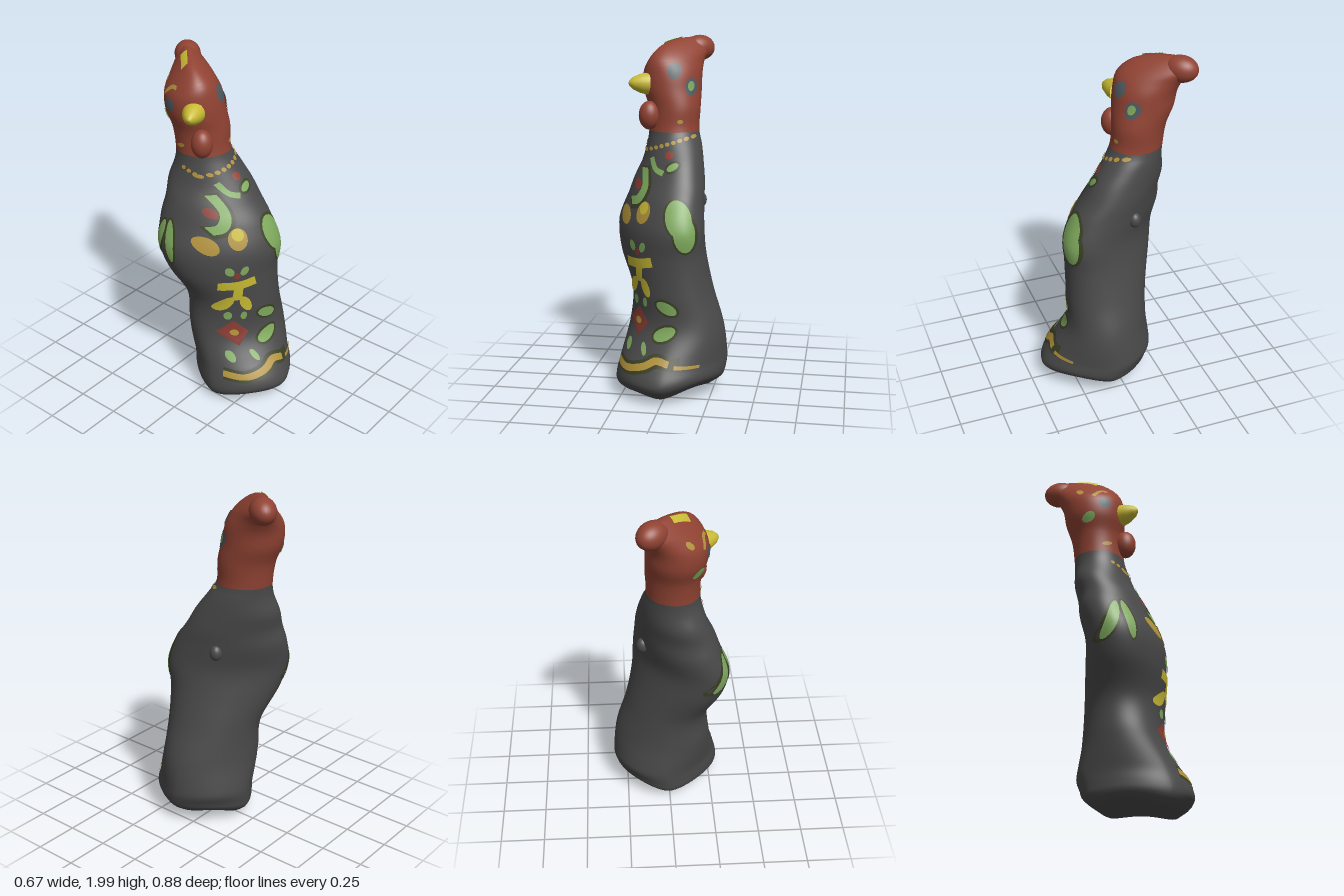
import * as THREE from 'three';

const mat = (name, color, side = THREE.FrontSide) => {
  const m = new THREE.MeshStandardMaterial({ color, side });
  m.name = name;
  return m;
};

// Cross-sections: y, centre x, half width x, centre z, half width z, skew angle, corner power
const SECTIONS = [
  [0, 0, 0.24, 0.1, 0.25, 1.65, 1.2],
  [0.05, 0.005, 0.295, 0.105, 0.305, 1.65, 1.2],
  [0.1, 0.01, 0.31, 0.11, 0.32, 1.65, 1.2],
  [0.2, 0.025, 0.305, 0.085, 0.305, 1.65, 1.15],
  [0.4, 0.035, 0.275, 0.04, 0.25, 1.4, 1.05],
  [0.6, 0.01, 0.24, 0.03, 0.25, 1.37, 1],
  [0.8, -0.05, 0.26, 0, 0.28, 1.2, 1],
  [0.95, -0.065, 0.265, -0.01, 0.3, 1.1, 1],
  [1.1, -0.045, 0.235, -0.05, 0.28, 1.15, 1],
  [1.2, -0.03, 0.215, -0.08, 0.24, 1.2, 1],
  [1.3, -0.015, 0.185, -0.115, 0.215, 1.25, 1],
  [1.4, -0.01, 0.16, -0.14, 0.17, 1.4, 1],
  [1.47, -0.015, 0.145, -0.16, 0.15, 1.5, 1],
  [1.6, -0.015, 0.15, -0.175, 0.155, 1.5, 1],
  [1.7, -0.03, 0.165, -0.2, 0.17, 1.6, 1],
  [1.8, -0.03, 0.165, -0.215, 0.17, 1.7, 1],
  [1.87, -0.01, 0.15, -0.235, 0.165, 2, 1],
  [1.92, 0.02, 0.14, -0.27, 0.15, 2.3, 1],
  [1.96, 0.04, 0.11, -0.3, 0.11, 2.5, 1],
  [1.985, 0.07, 0.06, -0.34, 0.06, 2.6, 1],
];
const NECK = 1.47, TOP = 1.985;

// Smooth interpolation between cross-sections
function section(y) {
  const n = SECTIONS.length;
  y = THREE.MathUtils.clamp(y, 0, TOP);
  let i = 0;
  while (i < n - 2 && y > SECTIONS[i + 1][0]) i++;
  const [a, b] = [SECTIONS[i], SECTIONS[i + 1]];
  const [p, q] = [SECTIONS[Math.max(i - 1, 0)], SECTIONS[Math.min(i + 2, n - 1)]];
  const h = b[0] - a[0], s = (y - a[0]) / h;
  return a.map((v, k) => {
    const m0 = ((b[k] - p[k]) / (b[0] - p[0])) * h, m1 = ((q[k] - v) / (q[0] - a[0])) * h;
    return v * (2 * s ** 3 - 3 * s * s + 1) + m0 * (s ** 3 - 2 * s * s + s)
      + b[k] * (3 * s * s - 2 * s ** 3) + m1 * (s ** 3 - s * s);
  });
}

// Point on the figure's skin at angle t and height y, with a tilted, four-footed base
function skin(t, y) {
  const [, cx, hx, cz, hz, d, p] = section(y);
  const g = (a) => Math.sign(Math.cos(a)) * Math.abs(Math.cos(a)) ** p;
  const x = cx + hx * g(t), z = cz + hz * g(t - d);
  const low = Math.max(0, 1 - y / 0.25);
  return new THREE.Vector3(x, y + low * (0.03 + 0.1 * x + 0.0125 * (1 - Math.cos(4 * t))), z);
}
function raised(t, y, off) {
  const P = skin(t, y), e = 0.01;
  const n = skin(t, y + e).sub(skin(t, y - e)).cross(skin(t + e, y).sub(skin(t - e, y))).normalize();
  return P.addScaledVector(n, off);
}

// Projections of flat painted outlines on to the skin
const angle = (u, p) => {
  u = THREE.MathUtils.clamp(u, -1, 1);
  return Math.acos(Math.sign(u) * Math.abs(u) ** (1 / p));
};
const front = (x, y, off) => {
  const s = section(y);
  return raised(angle((x - s[1]) / s[2], s[6]), y, off);
};
const side = (z, y, off) => {
  const s = section(y);
  return raised(s[5] + angle((z - s[3]) / s[4], s[6]), y, off);
};
const above = (x, z, off) => {
  let y = TOP;
  for (; y > 1.6; y -= 0.002) {
    const [, cx, hx, cz, hz, d] = section(y), u = (x - cx) / hx, v = (z - cz) / hz;
    if (u * u + v * v - 2 * u * v * Math.cos(d) <= Math.sin(d) ** 2) break;
  }
  return new THREE.Vector3(x, y + off, z);
};

function meshFrom(name, points, index, material) {
  const g = new THREE.BufferGeometry().setFromPoints(points);
  g.setIndex(index);
  g.computeVertexNormals();
  const m = new THREE.Mesh(g, material);
  m.name = name;
  return m;
}

function loft(name, y0, y1, material, cap, capAtTop) {
  const N = 64, R = Math.round((y1 - y0) / 0.02), pts = [], idx = [];
  for (let i = 0; i <= R; i++)
    for (let j = 0; j < N; j++) pts.push(skin((j / N) * Math.PI * 2, y0 + ((y1 - y0) * i) / R));
  for (let i = 0; i < R; i++)
    for (let j = 0; j < N; j++) {
      const k = (j + 1) % N, a = i * N + j, c = i * N + k;
      idx.push(a, a + N, c, c, a + N, c + N);
    }
  const c = pts.push(cap) - 1, base = capAtTop ? R * N : 0;
  for (let j = 0; j < N; j++) {
    const a = base + j, b = base + ((j + 1) % N);
    idx.push(c, ...(capAtTop ? [b, a] : [a, b]));
  }
  return meshFrom(name, pts, idx, material);
}

export function createModel() {
  const group = new THREE.Group();
  const D = THREE.DoubleSide;
  const grey = mat('charcoal', 0x4a4a4a), red = mat('brick red', 0x914333);
  const yellow = mat('yellow', 0xc9bb34, D), gold = mat('gold', 0xb0913a, D);
  const green = mat('leaf green', 0x80ab5e, D), olive = mat('dark olive', 0x3b4026, D);
  const slate = mat('slate', 0x4f5a60, D), paintRed = mat('paint red', 0x8a3b32, D);

  // Painted spot: elliptical patch, or a diamond with four sides
  const spot = (name, m, x, y, rx, ry = rx, rot = 0, map = front, off = 0.005, n = 20) => {
    const pts = [map(x, y, off)], idx = [], R = 4;
    for (let r = 1; r <= R; r++)
      for (let j = 0; j < n; j++) {
        const a = (j / n) * Math.PI * 2, u = (Math.cos(a) * rx * r) / R, v = (Math.sin(a) * ry * r) / R;
        pts.push(map(x + u * Math.cos(rot) - v * Math.sin(rot), y + u * Math.sin(rot) + v * Math.cos(rot), off));
        const k = (j + 1) % n, o = (r - 1) * n + 1, q = o - n;
        if (r === 1) idx.push(0, o + j, o + k);
        else idx.push(q + j, o + j, o + k, q + j, o + k, q + k);
      }
    group.add(meshFrom(name, pts, idx, m));
  };
  // Painted stroke along a curve
  const stroke = (name, m, path, w, map = front, off = 0.005) => {
    const curve = new THREE.SplineCurve(path.map((p) => new THREE.Vector2(...p)));
    const pts = [], idx = [], S = 24;
    for (let i = 0; i <= S; i++) {
      const p = curve.getPoint(i / S), d = curve.getTangent(i / S);
      for (let k = -1; k <= 1; k++) pts.push(map(p.x - (d.y * k * w) / 2, p.y + (d.x * k * w) / 2, off));
      for (let k = 0; k < 2 && i < S; k++) {
        const a = i * 3 + k;
        idx.push(a, a + 3, a + 1, a + 1, a + 3, a + 4);
      }
    }
    group.add(meshFrom(name, pts, idx, m));
  };
  const leaf = (x, y, rx, ry, rot, map = front) => {
    spot('leafShade', olive, x, y, rx + 0.013, ry + 0.013, rot, map, 0.003);
    spot('leaf', green, x, y, rx, ry, rot, map);
  };
  const ball = (name, m, pos, r, scale) => {
    const b = new THREE.Mesh(new THREE.SphereGeometry(r, 28, 20), m);
    b.name = name;
    b.position.set(...pos);
    b.scale.set(...scale);
    group.add(b);
    return b;
  };

  // Body and head
  group.add(loft('body', 0, NECK, grey, new THREE.Vector3(0, 0.1, 0.1), false));
  group.add(loft('head', NECK, TOP, red, new THREE.Vector3(0.07, 1.99, -0.34), true));
  ball('backBump', grey, skin(-0.6, 1.08).toArray(), 0.035, [1, 1.3, 1]);

  // Comb, wattle and beak
  ball('comb', red, [0.1, 1.925, -0.363], 0.072, [1, 1.02, 1.35]).rotation.y = -0.75;
  ball('wattle', red, [-0.142, 1.56, -0.065], 0.06, [1, 1.35, 1]);
  const beakProfile = [[0.062, 0], [0.055, 0.04], [0.035, 0.085], [0.015, 0.107], [0, 0.112]];
  const beak = new THREE.Mesh(new THREE.LatheGeometry(beakProfile.map((p) => new THREE.Vector2(...p)), 24), yellow);
  beak.name = 'beak';
  beak.position.set(-0.158, 1.735, -0.105);
  beak.quaternion.setFromUnitVectors(new THREE.Vector3(0, 1, 0), new THREE.Vector3(-0.88, 0.05, 0.42).normalize());
  group.add(beak);

  // Eyes and head marks
  spot('brow', slate, 0, 1.81, 0.038, 0.045);
  spot('eyeRim', slate, 0.09, 1.72, 0.028, 0.05, 0, front, 0.004);
  spot('eye', green, 0.088, 1.725, 0.015, 0.028, 0, front, 0.007);
  spot('brow', slate, -0.24, 1.76, 0.035, 0.035, 0, side);
  spot('eye', green, -0.31, 1.67, 0.025, 0.03, 0, side);
  spot('cheekMark', gold, 0.04, 1.53, 0.016, 0.012);
  spot('cheekMark', gold, -0.2, 1.52, 0.03, 0.012, 0.3, side);
  stroke('templeMark', gold, [[-0.3, 1.8], [-0.25, 1.845], [-0.21, 1.85]], 0.018, side);
  stroke('crownMark', yellow, [[-0.09, -0.225], [-0.05, -0.26], [0, -0.305]], 0.035, above, 0.007);
  spot('crownMark', gold, -0.09, -0.345, 0.025, 0.01, -0.4, above);

  // Necklace
  for (let i = 0; i < 9; i++) spot('bead', gold, -0.155 + i * 0.033, 1.365 + i * 0.01, 0.013, 0.011);
  for (let i = 0; i < 3; i++) spot('bead', gold, -0.1 - i * 0.035, 1.375 + i * 0.012, 0.013, 0.011, 0, side);

  // Chest flowers
  spot('chestBud', paintRed, -0.005, 1.35, 0.025, 0.022);
  stroke('chestStem', green, [[-0.11, 1.33], [-0.08, 1.275], [-0.03, 1.255]], 0.03);
  leaf(0.02, 1.29, 0.035, 0.018, 0.5);
  stroke('sprayShade', olive, [[-0.15, 1.28], [-0.13, 1.18], [-0.17, 1.1], [-0.23, 1.08]], 0.065, front, 0.003);
  stroke('spray', green, [[-0.15, 1.27], [-0.135, 1.18], [-0.17, 1.11], [-0.22, 1.09]], 0.042);
  spot('flowerBud', paintRed, -0.185, 1.18, 0.024, 0.028);
  spot('breastSpot', gold, -0.25, 1.01, 0.037, 0.05);
  spot('breastSpot', gold, -0.13, 1.045, 0.04, 0.062, -0.4, front, 0.004);
  spot('breastHighlight', yellow, -0.125, 1.07, 0.025, 0.035, -0.4, front, 0.007);

  // Wing leaves on both sides
  leaf(0.075, 1.03, 0.068, 0.1, 0.3);
  leaf(0.11, 0.95, 0.055, 0.1, 0.1);
  leaf(-0.25, 0.98, 0.028, 0.12, -0.25, side);
  leaf(-0.16, 0.99, 0.028, 0.12, 0.2, side);

  // Bow
  for (const s of [-1, 1]) {
    spot('bowLeaf', green, -0.16 + s * 0.032, 0.86, 0.018, 0.03, -s * 0.3);
    spot('bowTail', yellow, -0.15 + s * 0.04, 0.63, 0.024, 0.055, s * 0.35);
    spot('sprig', green, -0.145 + s * 0.03, 0.545, 0.014, 0.028);
    spot('lowerSprig', green, -0.16 + s * 0.05, 0.295, 0.016, 0.032, s * 0.2);
  }
  spot('bowKnot', paintRed, -0.16, 0.83, 0.014, 0.02);
  stroke('bow', yellow, [[-0.23, 0.76], [-0.15, 0.765], [-0.07, 0.785]], 0.055);
  stroke('bowStem', yellow, [[-0.15, 0.77], [-0.15, 0.66]], 0.04, front, 0.006);

  // Diamond flower and leaves
  spot('diamondFlower', paintRed, -0.155, 0.43, 0.06, 0.08, 0, front, 0.005, 4);
  spot('diamondCentre', gold, -0.155, 0.43, 0.018, 0.02, 0, front, 0.008);
  leaf(0.015, 0.53, 0.062, 0.032, -0.4);
  leaf(0.005, 0.385, 0.068, 0.034, 0.45);

  // Hem band
  const hem = [[-0.265, 0.2], [-0.2, 0.18], [-0.1, 0.21], [-0.03, 0.25], [0.04, 0.235]];
  stroke('hemShade', olive, hem.concat([[0.1, 0.235]]), 0.075, front, 0.003);
  stroke('hemBand', gold, hem, 0.038, front, 0.006);
  stroke('hemEnd', gold, [[0.07, 0.218], [0.13, 0.21], [0.2, 0.205]], 0.024, front, 0.006);
  return group;
}
